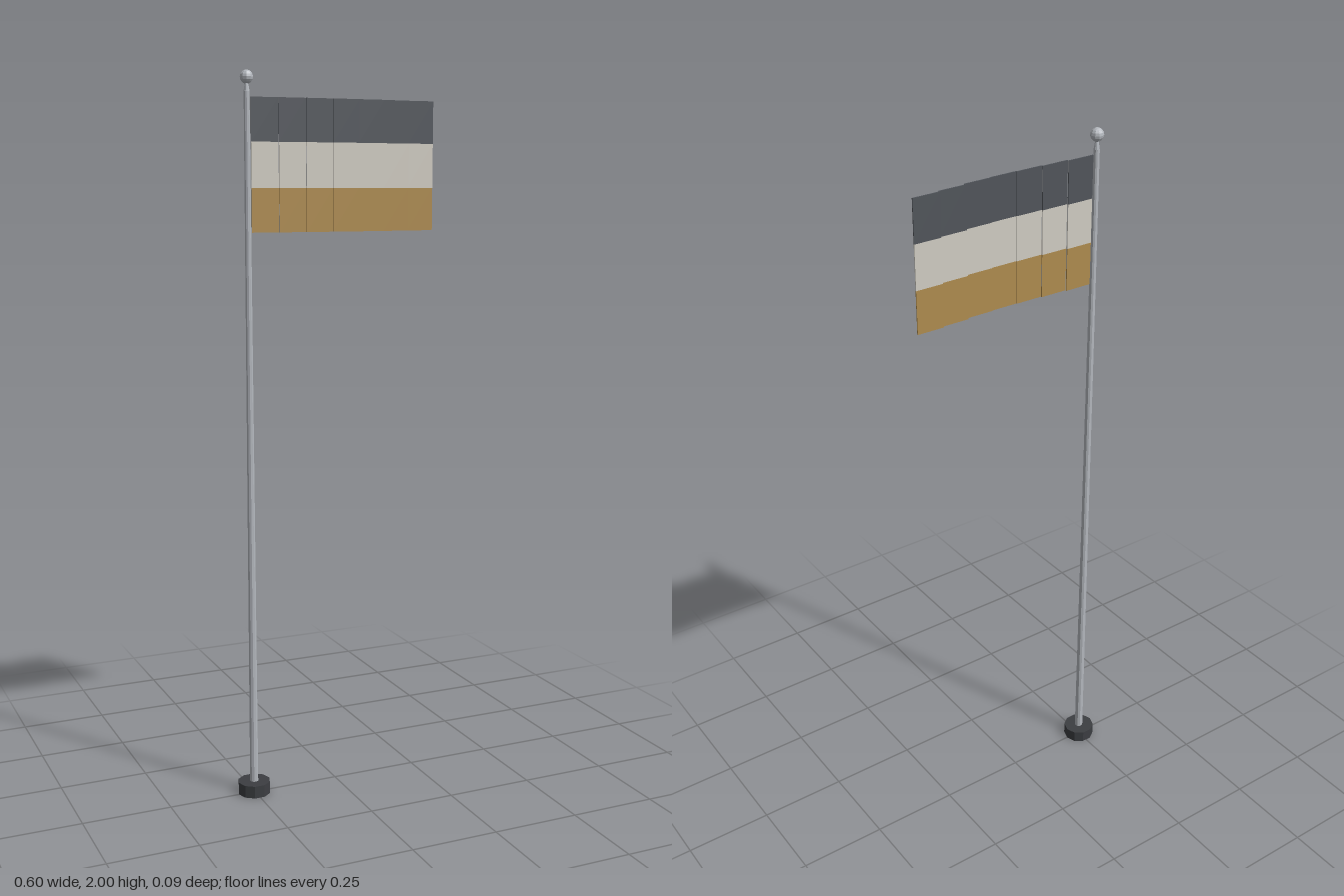
import * as THREE from 'three';

const POLE_X = -0.252;

export function createModel() {
  const model = new THREE.Group();
  model.name = 'flagpole';

  const mat = (color) => new THREE.MeshStandardMaterial({ color, flatShading: true });
  const metal = mat(0xb4b8be);

  function add(parent, name, geometry, material, x, y, z = 0) {
    const mesh = new THREE.Mesh(geometry, material);
    mesh.name = name;
    mesh.position.set(x, y, z);
    parent.add(mesh);
    return mesh;
  }

  // ten-sided foot, with corners on the x axis
  const foot = new THREE.CylinderGeometry(0.046, 0.046, 0.035, 10);
  foot.rotateY(Math.PI / 2);
  add(model, 'base', foot, mat(0x3c3e42), POLE_X, 0.0175);

  // tapered pole, narrow neck and ball
  const pole = new THREE.CylinderGeometry(0.008, 0.012, 1.91, 10);
  pole.rotateY(Math.PI / 2);
  add(model, 'pole', pole, metal, POLE_X, 0.99);
  add(model, 'neck', new THREE.CylinderGeometry(0.004, 0.008, 0.025, 10), metal, POLE_X, 1.9575);
  add(model, 'finial', new THREE.SphereGeometry(0.018, 10, 8), metal, POLE_X, 1.982);

  // flag: three stripes, each stepped through seven thin panels
  const flag = new THREE.Group();
  flag.name = 'flag';
  model.add(flag);
  const panelZ = [0, 0.005, 0.009, 0.011, 0.009, 0.003, -0.002];
  const width = 0.077, left = -0.241;
  const stripes = [
    ['topStripe', 0x52565c, 1.817, 1.932],
    ['middleStripe', 0xd2cec4, 1.697, 1.817],
    ['bottomStripe', 0xb08d50, 1.58, 1.697],
  ];
  for (const [name, color, bottom, top] of stripes) {
    const material = mat(color);
    const panel = new THREE.BoxGeometry(width, top - bottom, 0.003);
    panelZ.forEach((z, i) =>
      add(flag, name, panel, material, left + (i + 0.5) * width, (top + bottom) / 2, z));
  }

  return model;
}
